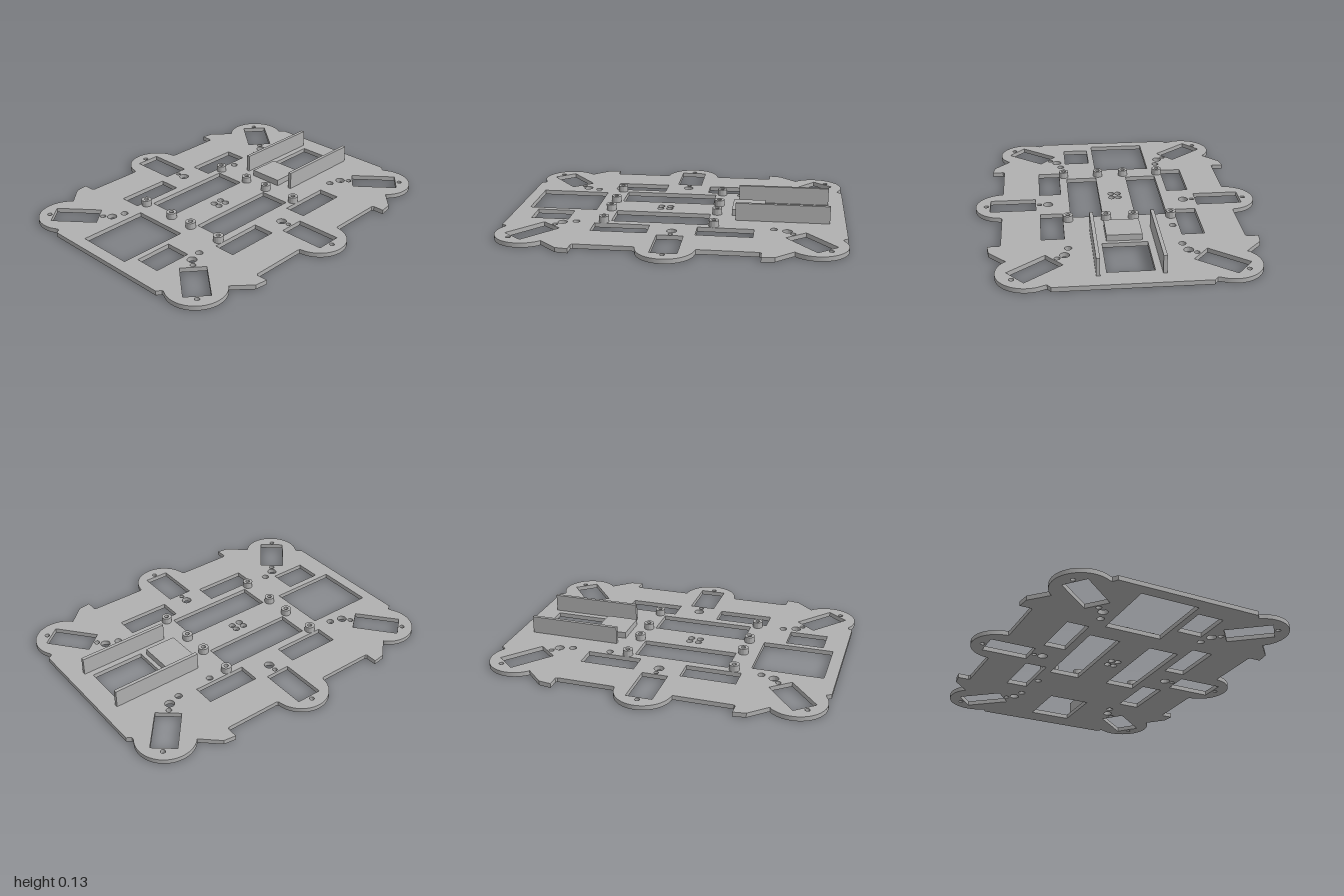
import * as THREE from 'three';
import { toCreasedNormals } from 'three/addons/utils/BufferGeometryUtils.js';

const THICK = 0.027;
const TOP = 0.065;
const grey = new THREE.MeshStandardMaterial({ color: 0xb0b0b0 });
grey.name = 'grey plastic';

// Points along an arc in the plan (x, z), angles in degrees
function arc(cx, cz, r, from, to, steps) {
  return Array.from({ length: steps + 1 }, (_, i) => {
    const a = THREE.MathUtils.degToRad(from + (to - from) * i / steps);
    return [cx + r * Math.cos(a), cz + r * Math.sin(a)];
  });
}

// Plan drawn in x, z and extruded upward from y
function extrudePlan(shape, y, height) {
  const g = new THREE.ExtrudeGeometry(shape, { depth: height, bevelEnabled: false, curveSegments: 24 });
  g.rotateX(Math.PI / 2).translate(0, y + height, 0);
  return toCreasedNormals(g, 0.5);
}

const toPoints = (list) => list.map(([x, z]) => new THREE.Vector2(x, z));

function circle(x, z, r) {
  return new THREE.Path().absarc(x, z, r, 0, Math.PI * 2, true);
}

function rect(x0, x1, z0, z1) {
  return new THREE.Path(toPoints([[x0, z0], [x0, z1], [x1, z1], [x1, z0]]));
}

function turnedRect(cx, cz, w, d, angle) {
  const c = Math.cos(angle), s = Math.sin(angle);
  return new THREE.Path(toPoints([[-1, -1], [-1, 1], [1, 1], [1, -1]].map(([i, j]) => {
    const u = i * w / 2, v = j * d / 2;
    return [cx + u * c - v * s, cz + u * s + v * c];
  })));
}

function plateShape() {
  // One quarter of the outline, from the side lobe to the front edge
  const quarter = [
    ...arc(0.692, 0, 0.167, 0, 84, 14),
    [0.7, 0.169], [0.697, 0.18], [0.697, 0.514], [0.706, 0.524],
    [0.772, 0.524], [0.762, 0.598], [0.664, 0.704],
    ...arc(0.55, 0.828, 0.172, -44, 110, 26),
    [0.457, 0.973], [0.446, 0.973], [0.427, 1],
  ];
  const half = [...quarter, ...quarter.slice(1).reverse().map(([x, z]) => [-x, z])];
  const otherHalf = half.map(([x, z]) => [-x, -z]);
  const shape = new THREE.Shape(toPoints([...half, [-0.859, 0], ...otherHalf.slice(1), ]));
  const holes = shape.holes;

  for (const sx of [-1, 1]) {
    // Side lobe slot and its holes
    holes.push(rect(sx * 0.633 - 0.138, sx * 0.633 + 0.138, -0.077, 0.077));
    holes.push(circle(sx * 0.795, 0, 0.014), circle(sx * 0.472, 0, 0.014), circle(sx * 0.419, 0, 0.029));
    // Long inner slot
    holes.push(rect(sx * 0.193 - 0.095, sx * 0.193 + 0.095, -0.193, 0.378));
    for (const sz of [-1, 1]) {
      // Corner lobe slot and its holes
      holes.push(turnedRect(sx * 0.509, sz * 0.796, 0.273, 0.149, -sx * sz * -0.69));
      holes.push(circle(sx * 0.632, sz * 0.9, 0.014));
      holes.push(circle(sx * 0.344, sz * 0.659, 0.028));
      holes.push(circle(sx * 0.386, sz * 0.693, 0.016));
      holes.push(circle(sx * 0.321, sz * 0.582, 0.021));
      // Outer slot
      holes.push(rect(sx * 0.403 - 0.066, sx * 0.403 + 0.066, sz * 0.304 - 0.164, sz * 0.304 + 0.164));
    }
    // Centre cluster
    for (const z of [0.066, 0.122]) holes.push(circle(sx * 0.021, z, 0.02));
  }
  // Unpaired openings
  holes.push(rect(-0.13, 0.13, -0.87, -0.543));
  holes.push(rect(-0.257, 0.093, 0.51, 0.929));
  holes.push(rect(0.13, 0.288, 0.638, 0.865));
  holes.push(circle(-0.302, -0.35, 0.02));
  return shape;
}

export function createModel() {
  const model = new THREE.Group();
  model.name = 'mountingPlate';

  function add(name, geometry, x = 0, y = 0, z = 0) {
    const mesh = new THREE.Mesh(geometry, grey);
    mesh.name = name;
    mesh.position.set(x, y, z);
    model.add(mesh);
  }

  add('basePlate', extrudePlan(plateShape(), 0, THICK));

  // Two upright rails beside the back window
  for (const sx of [-1, 1]) {
    add(sx > 0 ? 'leftRail' : 'rightRail', new THREE.BoxGeometry(0.021, 0.108, 0.555), sx * 0.1775, 0.079, -0.628);
  }

  // Raised pad between the rails
  add('pad', new THREE.BoxGeometry(0.206, TOP - THICK + 0.004, 0.195), 0, (TOP + THICK - 0.004) / 2, -0.421);

  // Hollow standoffs
  const ring = new THREE.Shape();
  ring.absarc(0, 0, 0.03, 0, Math.PI * 2, false);
  ring.holes.push(circle(0, 0, 0.013));
  const standoff = extrudePlan(ring, THICK, TOP - THICK);
  for (const x of [-0.307, -0.082, 0.082, 0.307]) {
    for (const z of [-0.233, 0.418]) add('standoff', standoff, x, 0, z);
  }
  return model;
}
